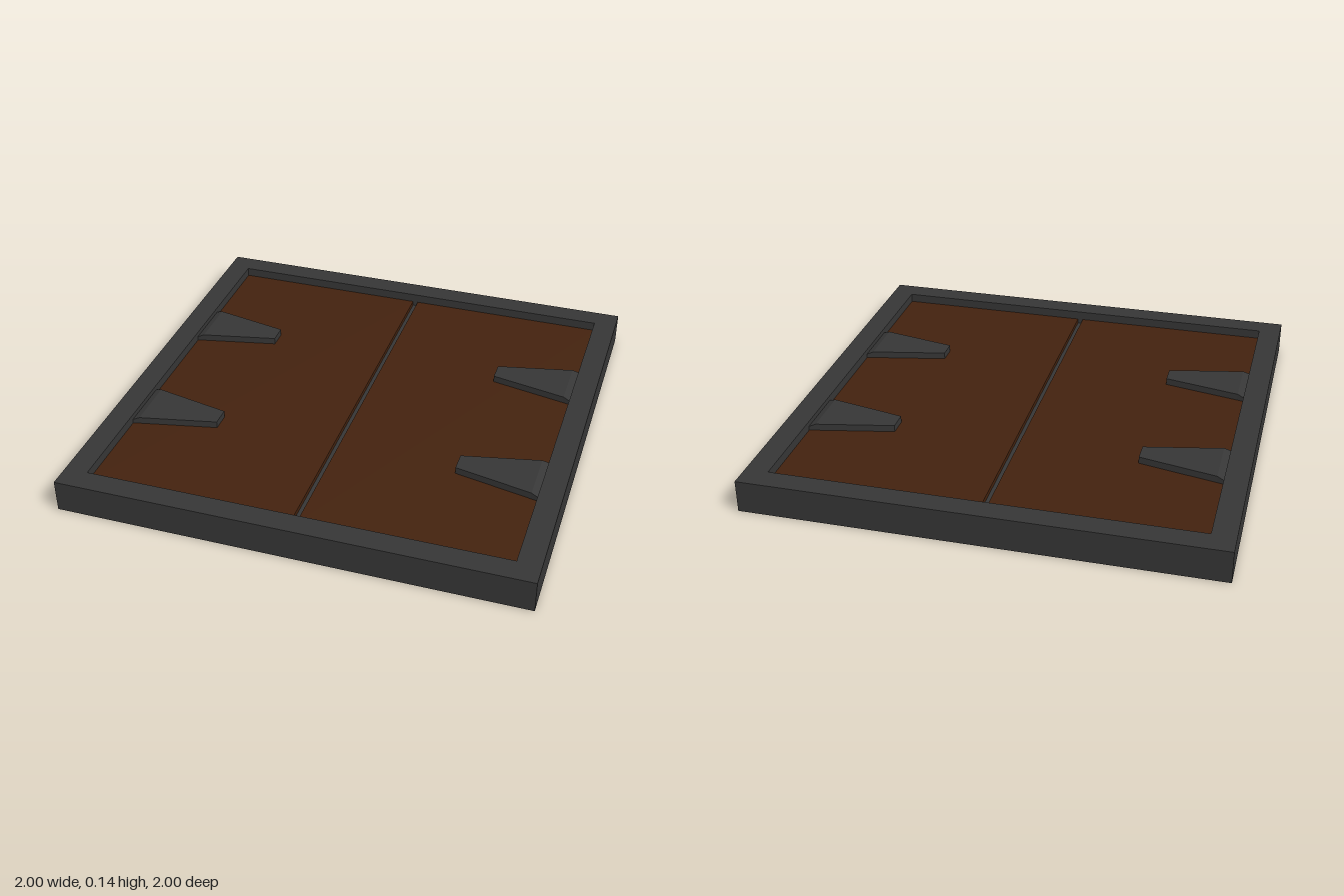
import * as THREE from 'three';

export function createModel() {
  const model = new THREE.Group();
  const iron = new THREE.MeshStandardMaterial({ color: 0x363636 });
  iron.name = 'dark iron';
  const wood = new THREE.MeshStandardMaterial({ color: 0x43220e });
  wood.name = 'brown wood';

  function add(name, geometry, material, x = 0, y = 0, z = 0) {
    const mesh = new THREE.Mesh(geometry, material);
    mesh.name = name;
    mesh.position.set(x, y, z);
    model.add(mesh);
    return mesh;
  }

  // Square frame with a square opening, laid flat
  const square = (Type, r) => new Type([[-r, -r], [r, -r], [r, r], [-r, r]].map(([x, y]) => new THREE.Vector2(x, y)));
  const outline = square(THREE.Shape, 1);
  outline.holes.push(square(THREE.Path, 0.9));
  const frame = new THREE.ExtrudeGeometry(outline, { depth: 0.14, bevelEnabled: false });
  frame.rotateX(-Math.PI / 2);
  add('frame', frame, iron);

  // Two door leaves, recessed above and below
  const gap = 0.012, bottom = 0.028, top = 0.1;
  for (const side of [-1, 1]) {
    add(side < 0 ? 'rightLeaf' : 'leftLeaf',
      new THREE.BoxGeometry(0.9 - gap, top - bottom, 1.8), wood,
      side * (0.9 + gap) / 2, (top + bottom) / 2, 0);
  }

  // Bar sunk in the seam between the leaves
  add('seamBar', new THREE.BoxGeometry(gap * 2, 0.03, 1.8), iron, 0, (top + bottom) / 2, 0);

  // Tapered hinge: three cross-sections, sloping down at the frame
  const sections = [
    { x: 0.535, half: 0.043, top: 0.13 },
    { x: 0.87, half: 0.114, top: 0.13 },
    { x: 0.9, half: 0.121, top: 0.118 },
  ];
  let hinge = new THREE.BoxGeometry(2, 2, 2, 2, 1, 1);
  const p = hinge.attributes.position;
  for (let i = 0; i < p.count; i++) {
    const s = sections[Math.round(p.getX(i)) + 1];
    p.setXYZ(i, s.x, p.getY(i) > 0 ? s.top : top - 0.005, Math.sign(p.getZ(i)) * s.half);
  }
  hinge = hinge.toNonIndexed();
  hinge.computeVertexNormals();
  for (const z of [-0.36, 0.355]) {
    add('leftHinge', hinge, iron, 0, 0, z);
    add('rightHinge', hinge, iron, 0, 0, z).rotation.y = Math.PI;
  }

  return model;
}
